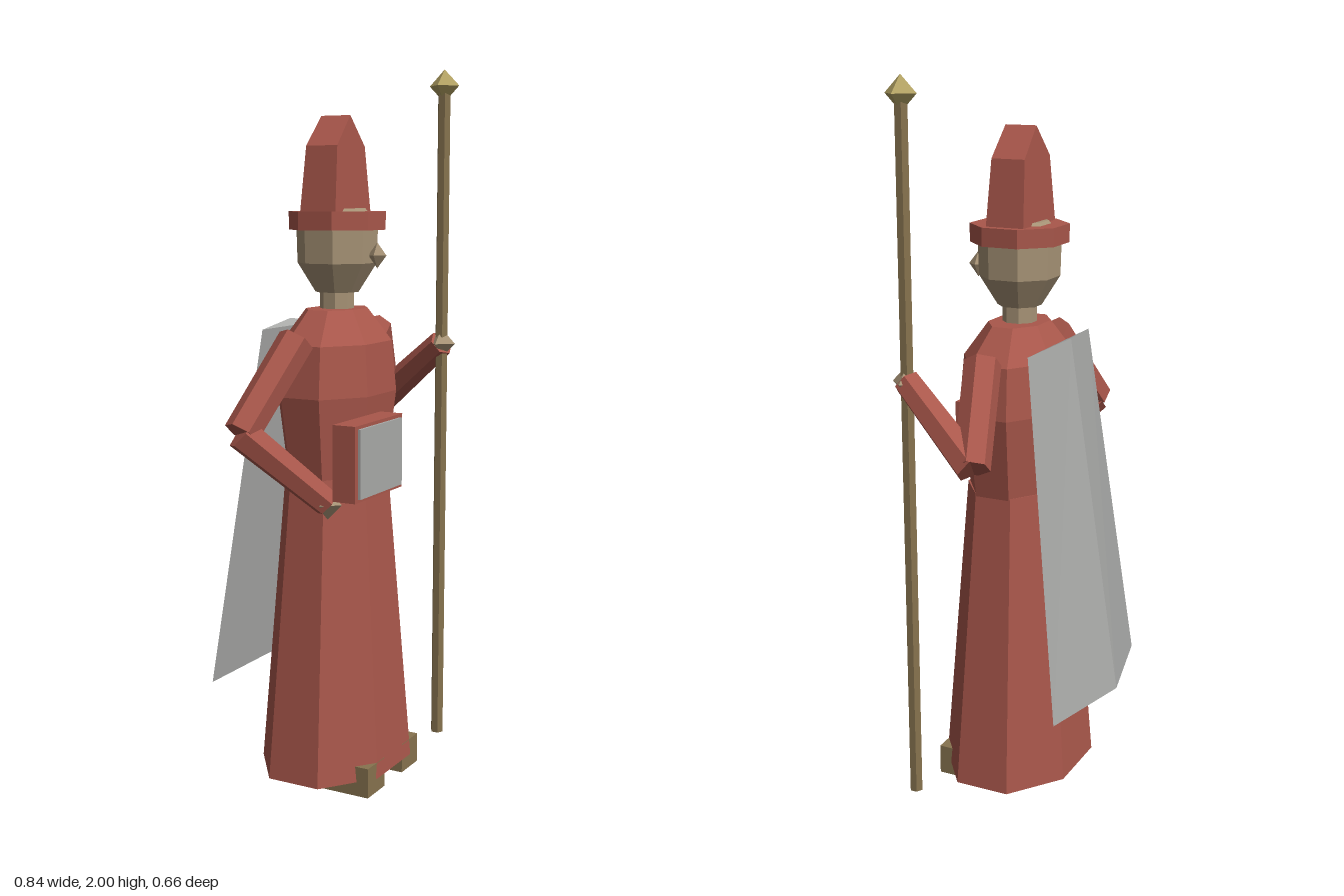
import * as THREE from 'three';

const mat = (name, color) => {
  const m = new THREE.MeshStandardMaterial({ color, flatShading: true });
  m.name = name;
  return m;
};

export function createModel() {
  const red = mat('red cloth', 0xa9574b);
  const grey = mat('grey cloth', 0xa9aaa8);
  const skin = mat('skin', 0xa89477);
  const brown = mat('brown wood', 0x87734f);
  const gold = mat('pale gold', 0xb3a264);

  const model = new THREE.Group();
  model.name = 'robedFigure';
  const figure = new THREE.Group();
  figure.name = 'figure';
  figure.rotation.y = THREE.MathUtils.degToRad(20);
  figure.position.set(0.01, 0, -0.01);
  model.add(figure);

  const add = (name, geometry, material, x = 0, y = 0, z = 0) => {
    const mesh = new THREE.Mesh(geometry, material);
    mesh.name = name;
    mesh.position.set(x, y, z);
    figure.add(mesh);
    return mesh;
  };

  // Eight-sided closed body from [radius, height] pairs, squashed in depth
  const turned = (name, material, profile, depth = 1) => {
    const pts = profile.map(([r, y]) => new THREE.Vector2(r, y));
    pts.unshift(new THREE.Vector2(0, pts[0].y));
    pts.push(new THREE.Vector2(0, pts[pts.length - 1].y));
    const g = new THREE.LatheGeometry(pts, 8, Math.PI / 8).toNonIndexed();
    g.scale(1, 1, depth);
    return add(name, g, material);
  };

  // Straight six-sided limb between two points
  const limb = (name, material, a, b, ra, rb) => {
    const from = new THREE.Vector3(...a), to = new THREE.Vector3(...b);
    const dir = to.clone().sub(from);
    const mesh = add(name, new THREE.CylinderGeometry(rb, ra, dir.length(), 6), material);
    mesh.position.copy(from).add(to).multiplyScalar(0.5);
    mesh.quaternion.setFromUnitVectors(new THREE.Vector3(0, 1, 0), dir.normalize());
    return mesh;
  };

  // Closed prism joining two equal rings, listed anticlockwise as seen from above
  const loft = (bottom, top) => {
    const n = bottom.length, pos = [...bottom, ...top].flat(), idx = [];
    for (let i = 0; i < n; i++) {
      const j = (i + 1) % n;
      idx.push(i, j, n + j, i, n + j, n + i);
      if (i > 0 && i < n - 1) idx.push(0, i + 1, i, n, n + i, n + i + 1);
    }
    const g = new THREE.BufferGeometry();
    g.setAttribute('position', new THREE.Float32BufferAttribute(pos, 3));
    g.setIndex(idx);
    const flat = g.toNonIndexed();
    flat.computeVertexNormals();
    return flat;
  };

  // Robe, neck and head
  turned('skirt', red, [[0.27, 0.04], [0.182, 0.885]], 0.75);
  turned('torso', red, [[0.185, 0.88], [0.223, 1.11], [0.205, 1.25], [0.115, 1.34]], 0.69);
  turned('neck', skin, [[0.047, 1.32], [0.047, 1.41]]);
  turned('head', skin, [[0.06, 1.385], [0.11, 1.465], [0.113, 1.57], [0.078, 1.613]]);
  const nose = add('nose', new THREE.OctahedronGeometry(1), skin, 0, 1.487, 0.125);
  nose.scale.set(0.022, 0.035, 0.028);

  // Hat: octagonal brim and a pointed, tapering crown
  turned('hatBrim', red, [[0.134, 1.555], [0.134, 1.605]]);
  const outline = new THREE.Shape([
    [-0.102, 1.59], [0.102, 1.59], [0.078, 1.78], [0, 1.862], [-0.078, 1.78],
  ].map(([x, y]) => new THREE.Vector2(x, y)));
  const crown = new THREE.ExtrudeGeometry(outline, { depth: 2, bevelEnabled: false });
  crown.translate(0, 0, -1);
  const p = crown.attributes.position;
  for (let i = 0; i < p.count; i++) {
    p.setZ(i, p.getZ(i) * (0.055 - (p.getY(i) - 1.59) * 0.037));
  }
  crown.computeVertexNormals();
  add('hatCrown', crown, red, 0, 0, -0.004);

  // Cape: solid three-sided wedge flaring to the hem
  add('cape', loft(
    [[-0.287, 0.305, -0.238], [0.287, 0.305, -0.238], [0, 0.305, -0.304]],
    [[-0.2, 1.29, -0.119], [0.2, 1.29, -0.119], [0, 1.305, -0.153]],
  ), grey);

  // Arms and hands; the right hand is low, the left holds the staff
  const hands = { right: [-0.253, 0.845, 0.112], left: [0.322, 1.222, 0.17] };
  for (const [side, s] of [['right', -1], ['left', 1]]) {
    const hand = hands[side];
    limb(side + 'UpperArm', red, [s * 0.222, 1.27, 0], [s * 0.402, 1.04, -0.06], 0.05, 0.048);
    limb(side + 'Forearm', red, [s * 0.402, 1.04, -0.06], hand, 0.046, 0.038);
    add(side + 'Hand', new THREE.OctahedronGeometry(0.043), skin, ...hand);
  }

  // Feet
  for (const s of [-1, 1]) {
    add(s < 0 ? 'rightFoot' : 'leftFoot', new THREE.BoxGeometry(0.1, 0.085, 0.16), brown,
      s * 0.105, 0.0425, 0.104);
  }

  // Staff with its finial
  add('staff', new THREE.CylinderGeometry(0.019, 0.019, 1.91, 6), brown, 0.322, 0.99, 0.17);
  add('staffFinial', new THREE.OctahedronGeometry(0.046), gold, 0.322, 1.954, 0.17);

  // Book with a pale front panel
  add('book', new THREE.BoxGeometry(0.266, 0.2, 0.066), red, -0.195, 0.97, 0.202);
  add('bookPanel', new THREE.BoxGeometry(0.236, 0.182, 0.009), grey, -0.195, 0.97, 0.238);

  return model;
}
